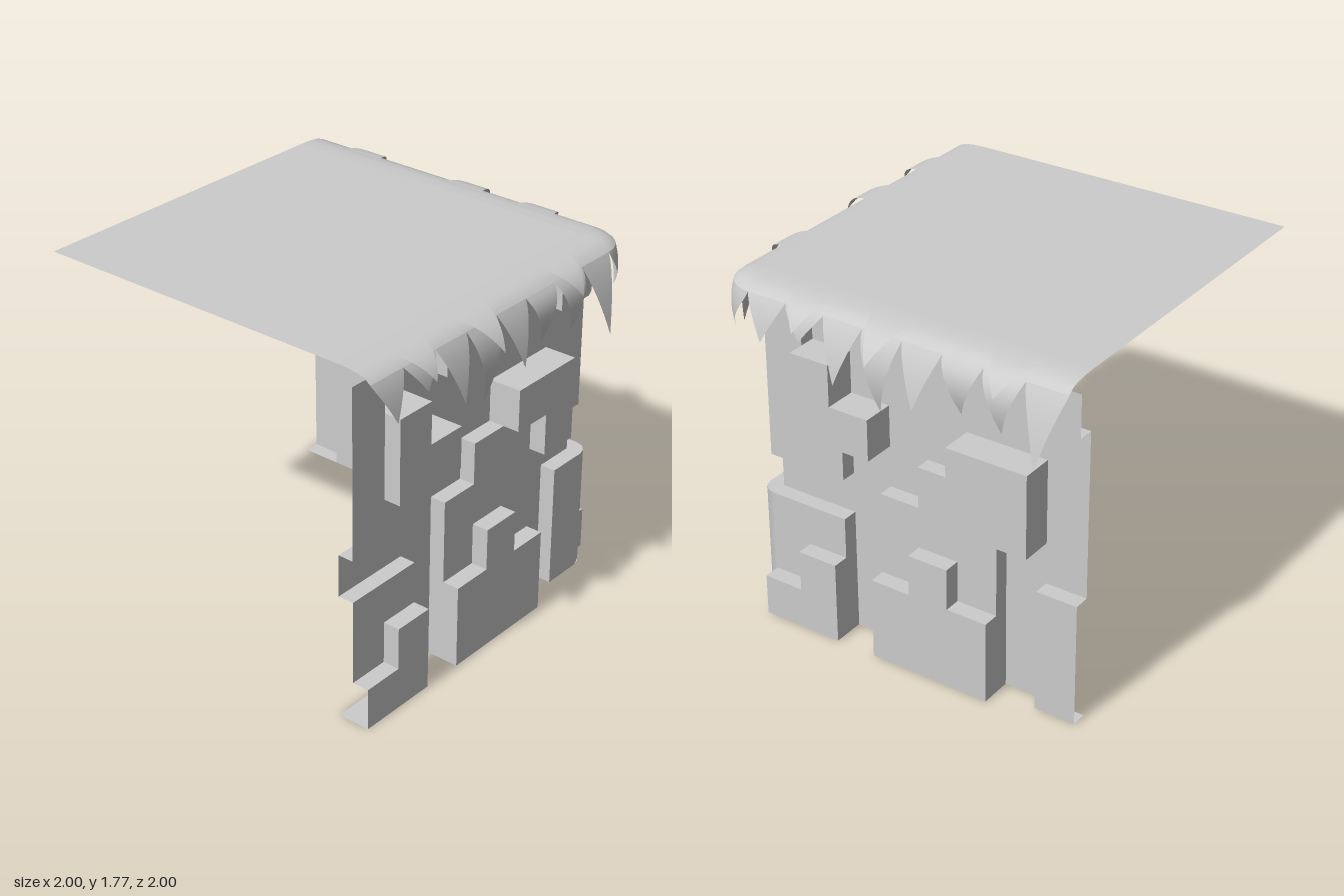
import * as THREE from 'three';

const BASE = 0.69;                 // depth of the lowest wall level
const DEPTH = [0, 0.08, 0.165];    // how far each level stands out
const CELL = 1.69 / 8;
const TOP = 1.773;

// Stone relief, top row first; digits are levels
const RELIEF = [
  '10011101',
  '12000000',
  '12200220',
  '11001120',
  '00011100',
  '11012101',
  '12022201',
  '22022201',
];
const level = (i, j) => Number(RELIEF[7 - j][i]);

const smooth = new THREE.MeshStandardMaterial({ color: 0xcccccc, side: THREE.DoubleSide });
const flat = new THREE.MeshStandardMaterial({ color: 0xcccccc, side: THREE.DoubleSide, flatShading: true });

function part(parent, name, geometry, material) {
  const mesh = new THREE.Mesh(geometry, material);
  mesh.name = name;
  parent.add(mesh);
  return mesh;
}

// Wall of stepped cells; leftLevel(j) is the level beside the first column
function wallGeometry(leftLevel) {
  const pos = [];
  const quad = (a, b, c, d) => pos.push(...a, ...b, ...c, ...a, ...c, ...d);
  for (let j = 0; j < 8; j++) {
    for (let i = 0; i < 8; i++) {
      const x0 = -1 + i * CELL, x1 = x0 + CELL, y0 = j * CELL, y1 = y0 + CELL;
      const z = BASE + DEPTH[level(i, j)];
      const zl = BASE + DEPTH[i ? level(i - 1, j) : leftLevel(j)];
      const zb = BASE + DEPTH[j ? level(i, j - 1) : 0];
      quad([x0, y0, z], [x1, y0, z], [x1, y1, z], [x0, y1, z]);
      if (z !== zl) quad([x0, y0, zl], [x0, y0, z], [x0, y1, z], [x0, y1, zl]);
      if (z !== zb) quad([x0, y0, zb], [x1, y0, zb], [x1, y0, z], [x0, y0, z]);
    }
  }
  const g = new THREE.BufferGeometry();
  g.setAttribute('position', new THREE.Float32BufferAttribute(pos, 3));
  g.computeVertexNormals();
  return g;
}

// Surface from a grid of points: u runs rightward, v runs downward
function sheet(nu, nv, point) {
  const pos = [], idx = [];
  for (let j = 0; j <= nv; j++)
    for (let i = 0; i <= nu; i++) pos.push(...point(i, j));
  for (let j = 0; j < nv; j++)
    for (let i = 0; i < nu; i++) {
      const a = j * (nu + 1) + i, b = a + nu + 1;
      idx.push(a, b, a + 1, a + 1, b, b + 1);
    }
  const g = new THREE.BufferGeometry();
  g.setAttribute('position', new THREE.Float32BufferAttribute(pos, 3));
  g.setIndex(idx);
  g.computeVertexNormals();
  return g;
}

// Pointed blade following a curve of (depth, height); place() maps side -1..1 and depth to x, z
function blade(start, control, tip, place) {
  const curve = new THREE.QuadraticBezierCurve(
    new THREE.Vector2(...start), new THREE.Vector2(...control), new THREE.Vector2(...tip));
  return sheet(6, 10, (i, j) => {
    const v = j / 10, p = curve.getPoint(v);
    const [x, z] = place((i / 3 - 1) * (1 - Math.pow(v, 1.25)), p.x);
    return [x, p.y, z];
  });
}

const NOTCH = [0.867, 1.73];
// Hanging blades, one per column: control point and tip as (depth, height)
const BLADES = [
  [[0.91, 1.66], [0.93, 1.53]],
  [[0.91, 1.68], [0.92, 1.59]],
  [[0.93, 1.64], [0.955, 1.455]],
  [[0.97, 1.6], [0.89, 1.36]],
  [[0.93, 1.64], [0.955, 1.46]],
  [[0.95, 1.65], [0.88, 1.48]],
  [[0.96, 1.65], [0.89, 1.455]],
  [[0.93, 1.62], [0.97, 1.385]],
];
// Lifted blades lying over some columns
const LIFTED = [
  [1, [0.92, 1.76], [0.965, 1.65]],
  [3, [0.93, 1.76], [1.0, 1.63]],
  [6, [0.92, 1.76], [0.955, 1.65]],
];

function fringe() {
  const group = new THREE.Group();
  const column = (i) => (s, depth) => [-1 + (i + 0.5 + s / 2) * CELL, depth];
  BLADES.forEach(([c, t], i) => part(group, 'hangingBlade', blade(NOTCH, c, t, column(i)), smooth));
  LIFTED.forEach(([i, c, t]) =>
    part(group, 'liftedBlade', blade([0.785, TOP - 0.002], c, t, column(i)), smooth));
  return group;
}

// Turns a front part into its match on the left side
function toSide(object) {
  object.rotation.y = Math.PI / 2;
  object.position.z = BASE - 1;
  return object;
}

export function createModel() {
  const model = new THREE.Group();
  model.name = 'grassyStoneCorner';

  // Stone walls
  part(model, 'frontWall', wallGeometry((j) => level(0, j)), flat);
  toSide(part(model, 'sideWall', wallGeometry((j) => level(7, j)), flat));

  // Rounded corner posts with their ledges
  for (const [y0, y1] of [[0, 3 * CELL], [7 * CELL, 8 * CELL]]) {
    const post = new THREE.CylinderGeometry(DEPTH[1], DEPTH[1], y1 - y0, 2, 1, true, 0, Math.PI / 2);
    part(model, 'cornerPost', post, smooth).position.set(BASE, (y0 + y1) / 2, BASE);
  }
  for (const [y, turn] of [[0, 1], [3 * CELL, -1], [7 * CELL, 1]]) {
    const start = turn > 0 ? 0 : -Math.PI / 2;
    const ledge = new THREE.CircleGeometry(DEPTH[1], 2, start, Math.PI / 2).rotateX(turn * Math.PI / 2);
    part(model, 'cornerLedge', ledge, flat).position.set(BASE, y, BASE);
  }

  // Flat grass top
  const top = new THREE.PlaneGeometry(1.69, 1.69).rotateX(-Math.PI / 2);
  part(model, 'grassTop', top, smooth).position.set(-0.155, TOP, -0.155);

  // Rolled rim along the front, round the corner and along the side
  const rim = [[0.69, TOP], [0.75, TOP - 0.002], [0.8, 1.765], [0.84, 1.752], NOTCH];
  const path = [[-1, BASE, 0]];
  for (let k = 0; k <= 8; k++) path.push([BASE, BASE, (k / 8) * Math.PI / 2]);
  path.push([BASE, -1, Math.PI / 2]);
  part(model, 'grassRim', sheet(path.length - 1, rim.length - 1, (i, j) => {
    const [x, z, a] = path[i], out = rim[j][0] - BASE;
    return [x + Math.sin(a) * out, rim[j][1], z + Math.cos(a) * out];
  }), smooth);

  // Grass fringe on both sides
  const front = fringe();
  front.name = 'frontFringe';
  const side = toSide(fringe());
  side.name = 'sideFringe';
  model.add(front, side);

  // Blade wrapped round the corner
  part(model, 'cornerBlade', blade(NOTCH, [0.9, 1.63], [0.87, 1.51], (s, depth) => {
    const a = (1 + s) * Math.PI / 4, r = depth - BASE;
    return [BASE + Math.sin(a) * r, BASE + Math.cos(a) * r];
  }), smooth);

  return model;
}
